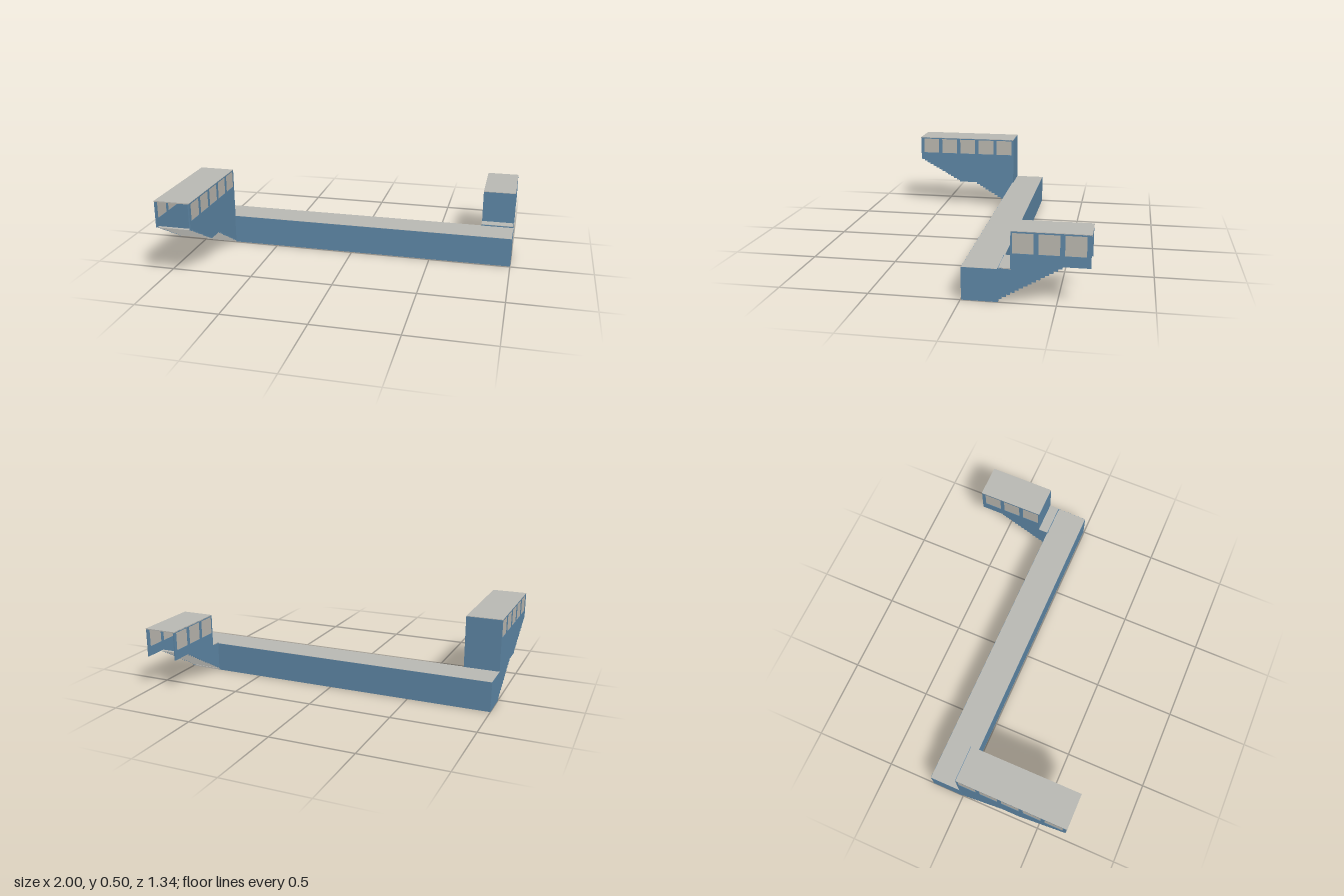
import * as THREE from 'three';

const blue = new THREE.MeshStandardMaterial({ color: 0x5e87a6, side: THREE.DoubleSide });
blue.name = 'blue cladding';
const grey = new THREE.MeshStandardMaterial({ color: 0xbab9b4, side: THREE.DoubleSide });
grey.name = 'light concrete';
const pane = new THREE.MeshStandardMaterial({ color: 0xbbb8b0, side: THREE.DoubleSide });
pane.name = 'window pane';

const T = 0.008; // panel thickness

// Box given by its limits on each axis
function panel(name, mat, x0, x1, y0, y1, z0, z1) {
  const m = new THREE.Mesh(new THREE.BoxGeometry(x1 - x0, y1 - y0, z1 - z0), mat);
  m.position.set((x0 + x1) / 2, (y0 + y1) / 2, (z0 + z1) / 2);
  m.name = name;
  return m;
}

// Stepped line of [z, y] points: riser, then tread
function flight(z0, y0, z1, y1, n) {
  const pts = [[z0, y0]];
  for (let i = 0; i < n; i++) {
    const y = y0 + (y1 - y0) * (i + 1) / n;
    pts.push([z0 + (z1 - z0) * i / n, y], [z0 + (z1 - z0) * (i + 1) / n, y]);
  }
  return pts;
}

// Folded sheet of risers and treads between two walls
function stairSheet(pts, x0, x1) {
  const pos = [];
  for (let i = 0; i < pts.length - 1; i++) {
    const [za, ya] = pts[i], [zb, yb] = pts[i + 1];
    pos.push(x0, ya, za, x1, ya, za, x1, yb, zb, x0, ya, za, x1, yb, zb, x0, yb, zb);
  }
  const g = new THREE.BufferGeometry();
  g.setAttribute('position', new THREE.Float32BufferAttribute(pos, 3));
  g.computeVertexNormals();
  const m = new THREE.Mesh(g, grey);
  m.name = 'stairs';
  return m;
}

// Side wall with a stepped lower edge and a row of glazed openings
function sideWall(outline, xRight, win) {
  const group = new THREE.Group();
  group.name = 'sideWall';
  const shape = new THREE.Shape(outline.map(([z, y]) => new THREE.Vector2(z, y)));
  for (let i = 0; i < win.count; i++) {
    const a = win.start + i * win.pitch, b = a + win.width;
    shape.holes.push(new THREE.Path([[a, win.y0], [a, win.y1], [b, win.y1], [b, win.y0]]
      .map(([z, y]) => new THREE.Vector2(z, y))));
    const mid = xRight - T / 2;
    group.add(panel('window', pane, mid - 0.002, mid + 0.002, win.y0, win.y1, a, b));
  }
  const g = new THREE.ExtrudeGeometry(shape, { depth: T, bevelEnabled: false });
  g.rotateY(-Math.PI / 2);
  const wall = new THREE.Mesh(g, blue);
  wall.position.x = xRight;
  wall.name = 'wall';
  group.add(wall);
  return group;
}

export function createModel() {
  const model = new THREE.Group();
  model.name = 'pedestrianUnderpass';

  // Tunnel, hollow, with gaps in the walls where the stairs join
  const tunnel = new THREE.Group();
  tunnel.name = 'tunnel';
  tunnel.add(
    panel('tunnelFloor', grey, -1, 1, 0, T, -0.2, -0.005),
    panel('tunnelRoof', grey, -1, 1, 0.174, 0.182, -0.2, -0.005),
    panel('tunnelFrontWall', blue, -0.785, 1, 0.001, 0.181, -0.012, -0.004),
    panel('tunnelBackWall', blue, -1, 0.8, 0.001, 0.181, -0.201, -0.193),
    panel('tunnelRightEnd', blue, -1.001, -0.993, 0.001, 0.181, -0.2, -0.005),
    panel('tunnelLeftEnd', blue, 0.993, 1.001, 0.001, 0.181, -0.2, -0.005));
  model.add(tunnel);

  // Tall front entrance: two flights with a landing
  const front = new THREE.Group();
  front.name = 'frontEntrance';
  const frontSteps = [...flight(-0.005, 0.006, 0.28, 0.175, 13),
    ...flight(0.385, 0.175, 0.67, 0.335, 13)];
  const frontOutline = [...frontSteps, [0.67, 0.494], [-0.008, 0.494], [-0.008, 0.006]];
  const frontWindows = { start: 0.002, pitch: 0.134, width: 0.11, count: 5, y0: 0.385, y1: 0.487 };
  for (const x of [-0.785, -1 + T]) front.add(sideWall(frontOutline, x, frontWindows));
  front.add(stairSheet(frontSteps, -0.993, -0.792));
  front.add(panel('entranceRoof', grey, -1, -0.785, 0.491, 0.497, -0.008, 0.672));
  front.add(panel('entranceEndWall', blue, -1, -0.785, 0.18, 0.494, -0.011, -0.003));
  model.add(front);

  // Lower back entrance: one flight, open at the far end
  const back = new THREE.Group();
  back.name = 'backEntrance';
  const backSteps = flight(-0.195, 0.006, -0.548, 0.212, 16);
  const backOutline = [...backSteps, [-0.67, 0.212], [-0.67, 0.386], [-0.263, 0.386],
    [-0.263, 0.187], [-0.195, 0.187]];
  const backWindows = { start: -0.647, pitch: 0.134, width: 0.109, count: 3, y0: 0.27, y1: 0.378 };
  for (const x of [1, 0.8 + T]) back.add(sideWall(backOutline, x, backWindows));
  back.add(stairSheet(backSteps, 0.807, 0.993));
  back.add(panel('entranceRoof', grey, 0.8, 1, 0.383, 0.389, -0.672, -0.262));
  back.add(panel('entranceEndWall', blue, 0.8, 1, 0.185, 0.386, -0.269, -0.261));
  back.add(panel('lowRoof', grey, 0.8, 1, 0.184, 0.19, -0.265, -0.2));
  back.add(panel('lowRoofUpstand', blue, 0.8, 1, 0.178, 0.188, -0.203, -0.197));
  model.add(back);

  return model;
}
